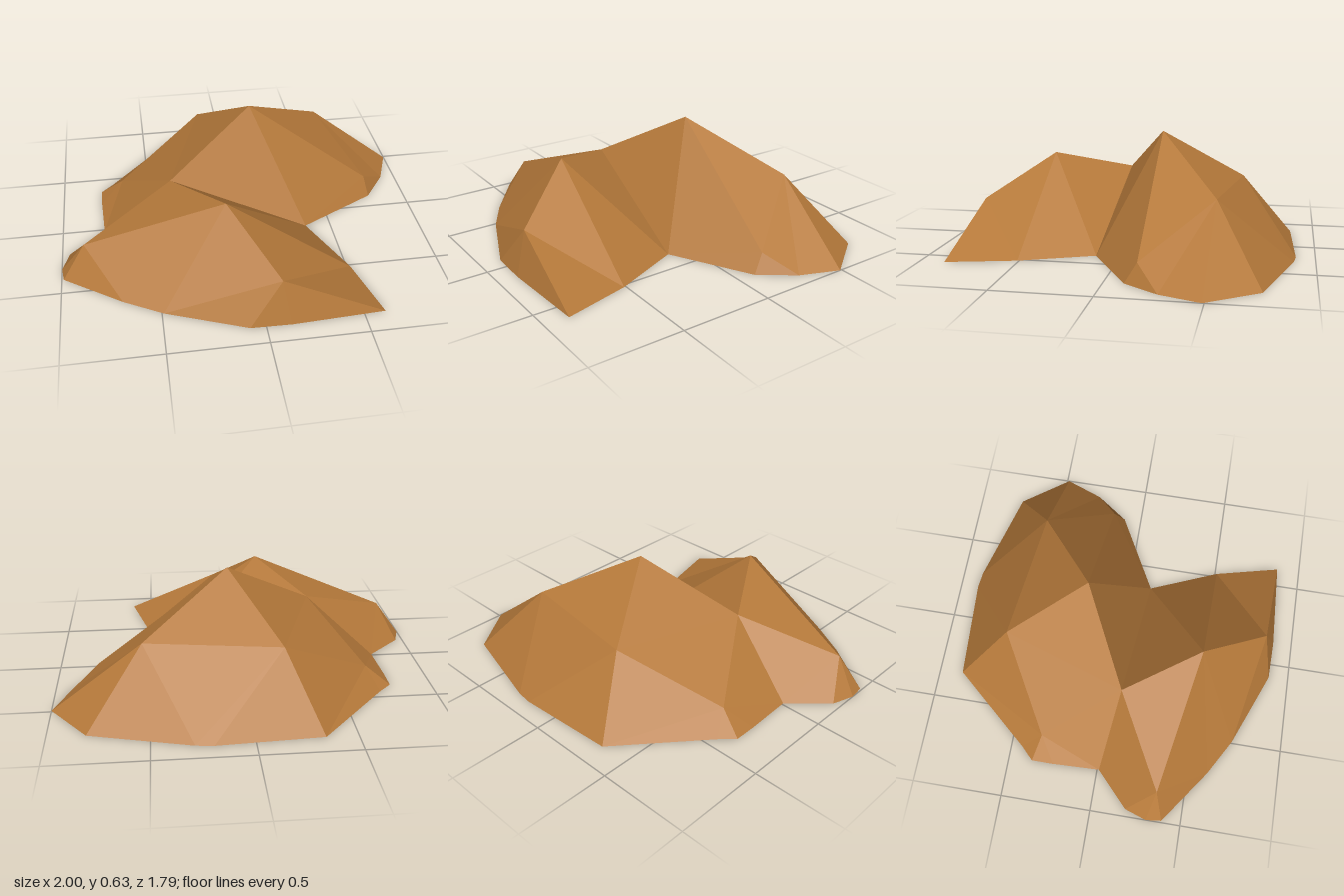
import * as THREE from 'three';

// Crest points of the two ridges
const peak = [0.08, 0.63, -0.18];
const backCrest = [-0.17, 0.355, -0.6];
const eastCrest = [0.53, 0.365, -0.51];
const eastToe = [0.77, 0.1, -0.16];
const westToe = [-0.65, 0.1, -0.33];
const saddle = [-0.39, 0.35, 0.075];
const smallPeak = [-0.14, 0.46, 0.475];
const frontCrest = [0.09, 0.225, 0.825];
const westCrest = [-0.87, 0.18, 0.345];

// Ground outline, clockwise seen from above, starting at the back left corner
const g = [
  [-0.34, -0.87], [0.2, -0.9], [0.29, -0.89], [0.81, -0.75], [1, -0.49], [0.92, -0.28],
  [0.79, -0.1], [0.36, 0.13], [0.52, 0.51], [0.61, 0.87], [0.13, 0.895], [-0.08, 0.89],
  [-0.49, 0.725], [-0.69, 0.61], [-0.99, 0.395], [-1, 0.31], [-0.96, 0.19], [-0.77, 0.01],
  [-0.78, -0.25], [-0.78, -0.37], [-0.71, -0.44],
].map(([x, z]) => [x, 0, z]);

// Each fan is an apex followed by the points around it
const largeDuneFans = [
  [peak, backCrest, eastCrest, eastToe, g[7], saddle, backCrest],
  [backCrest, westToe, g[0], g[1], g[2], eastCrest],
  [eastCrest, g[2], g[3], g[4], g[5], eastToe],
  [eastToe, g[5], g[6], g[7]],
  [westToe, g[0], g[20], g[19], g[18], g[17], saddle, backCrest],
  [backCrest, saddle, westToe],
];
const smallDuneFans = [
  [smallPeak, saddle, g[7], g[8], frontCrest, g[12], g[13], westCrest, saddle],
  [frontCrest, g[8], g[9], g[10], g[11], g[12]],
  [westCrest, g[13], g[14], g[15], g[16], g[17], saddle],
];

// Turns fans into a faceted surface with every face pointing up
function slopeGeometry(fans) {
  const positions = [];
  for (const [a, ...rim] of fans) {
    for (let i = 0; i + 1 < rim.length; i++) {
      const b = rim[i], c = rim[i + 1];
      const up = (b[2] - a[2]) * (c[0] - a[0]) - (b[0] - a[0]) * (c[2] - a[2]);
      if (Math.abs(up) < 1e-9) continue;
      positions.push(...a, ...(up > 0 ? [...b, ...c] : [...c, ...b]));
    }
  }
  const geometry = new THREE.BufferGeometry();
  geometry.setAttribute('position', new THREE.Float32BufferAttribute(positions, 3));
  geometry.computeVertexNormals();
  return geometry;
}

export function createModel() {
  const group = new THREE.Group();
  group.name = 'sandDunes';
  const sand = new THREE.MeshStandardMaterial({
    color: 0xb5793a, flatShading: true, side: THREE.DoubleSide,
  });
  sand.name = 'sand';

  const parts = { largeDune: largeDuneFans, smallDune: smallDuneFans };
  for (const [name, fans] of Object.entries(parts)) {
    const mesh = new THREE.Mesh(slopeGeometry(fans), sand);
    mesh.name = name;
    group.add(mesh);
  }
  return group;
}
